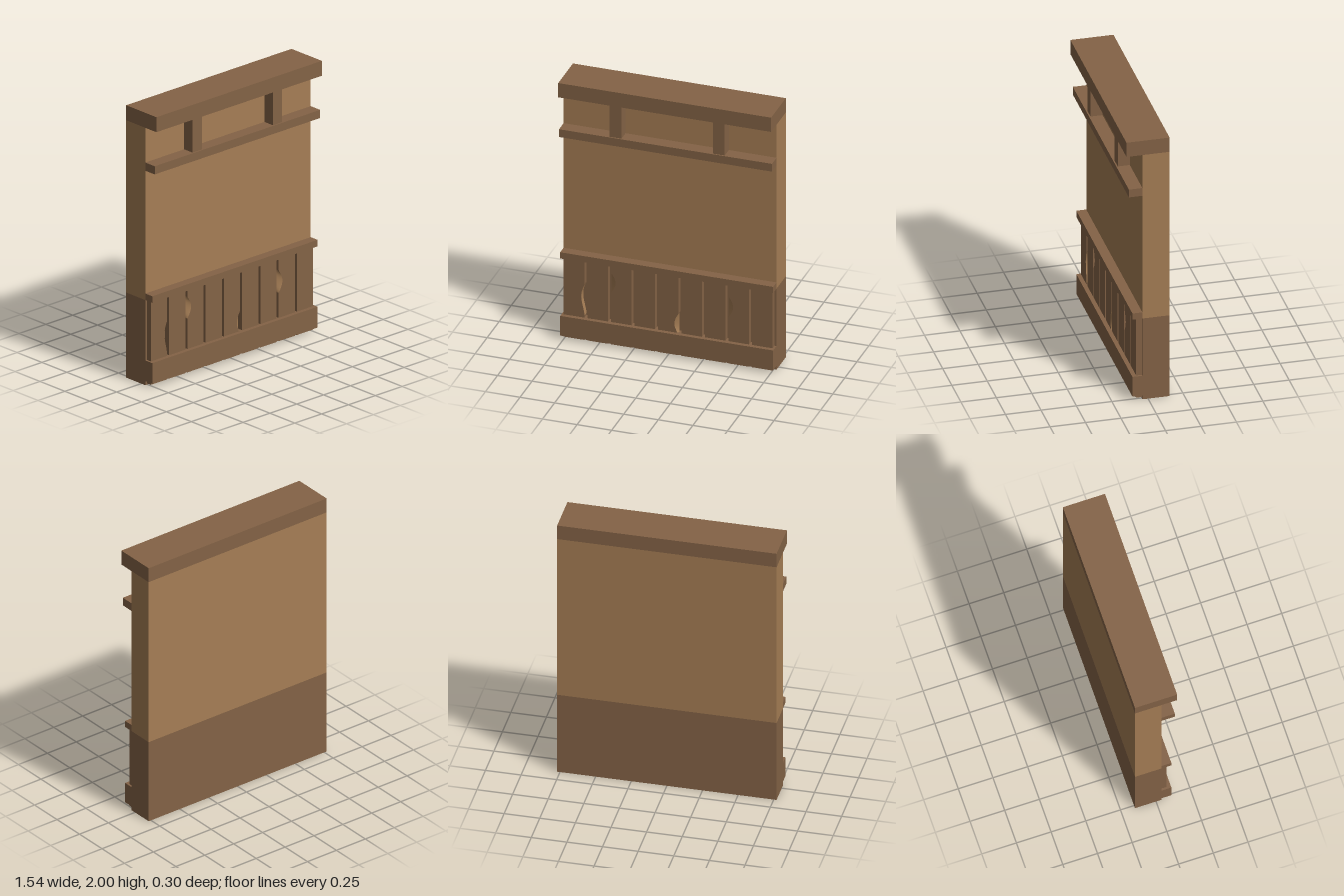
import * as THREE from 'three';

const darkWood = new THREE.MeshStandardMaterial({ color: 0x846346 });
darkWood.name = 'dark wood';
const lightWood = new THREE.MeshStandardMaterial({ color: 0xa67e55, side: THREE.DoubleSide });
lightWood.name = 'light wood';

const WALL_FRONT = 0.04, PLANK_FRONT = 0.08, PLANK_WIDTH = 0.15, PITCH = 0.17;

// Box given by its limits on each axis
function block(name, material, x0, x1, y0, y1, z0, z1) {
  const mesh = new THREE.Mesh(new THREE.BoxGeometry(x1 - x0, y1 - y0, z1 - z0), material);
  mesh.position.set((x0 + x1) / 2, (y0 + y1) / 2, (z0 + z1) / 2);
  mesh.name = name;
  return mesh;
}

// Curved outline of a chip on a plank edge, from bottom to top
function chipCurve({ side, y0, y1, depth, skew = 1 }, centre) {
  const points = [];
  for (let i = 0; i <= 12; i++) {
    const t = i / 12;
    const x = centre + side * (PLANK_WIDTH / 2 - depth * Math.sin(Math.PI * Math.pow(t, skew)));
    points.push(new THREE.Vector2(x, y0 + (y1 - y0) * t));
  }
  return points;
}

// Plank with an optional chip bitten out of one long edge
function plank(centre, chip) {
  const group = new THREE.Group();
  group.name = 'plank';
  const l = centre - PLANK_WIDTH / 2, r = centre + PLANK_WIDTH / 2, y0 = 0.01, y1 = 0.625;
  const curve = chip ? chipCurve(chip, centre) : [];
  const shape = new THREE.Shape([
    new THREE.Vector2(l, y0), new THREE.Vector2(r, y0),
    ...(chip && chip.side > 0 ? curve : []),
    new THREE.Vector2(r, y1), new THREE.Vector2(l, y1),
    ...(chip && chip.side < 0 ? [...curve].reverse() : []),
  ]);
  const body = new THREE.Mesh(
    new THREE.ExtrudeGeometry(shape, { depth: PLANK_FRONT - WALL_FRONT, bevelEnabled: false }), darkWood);
  body.position.z = WALL_FRONT;
  body.name = 'plankBody';
  group.add(body);

  if (chip) {
    // Bare wood: a sloping scoop, or the straight wall of a bite right through
    const edge = centre + chip.side * PLANK_WIDTH / 2;
    const position = [], index = [];
    curve.forEach((p, i) => {
      const x = p.x + (chip.through ? chip.side * 0.001 : 0);
      position.push(x, p.y, PLANK_FRONT);
      position.push(chip.through ? x : edge, p.y, chip.through ? WALL_FRONT : 0.06);
      const a = i * 2;
      if (i < curve.length - 1) {
        if (chip.side > 0) index.push(a, a + 1, a + 3, a, a + 3, a + 2);
        else index.push(a, a + 3, a + 1, a, a + 2, a + 3);
      }
    });
    const geometry = new THREE.BufferGeometry();
    geometry.setAttribute('position', new THREE.Float32BufferAttribute(position, 3));
    geometry.setIndex(index);
    geometry.computeVertexNormals();
    const scoop = new THREE.Mesh(geometry, lightWood);
    scoop.name = 'chip';
    group.add(scoop);
  }
  return group;
}

export function createModel() {
  const model = new THREE.Group();
  model.name = 'wallPanel';
  const W = 0.77, BACK = -0.152;

  // Wall core, dark below and light above
  model.add(block('lowerWall', darkWood, -W, W, 0, 0.625, BACK, WALL_FRONT));
  model.add(block('upperWall', lightWood, -W, W, 0.625, 1.89, BACK, WALL_FRONT));

  // Horizontal beams
  model.add(block('topBeam', darkWood, -W, W, 1.89, 2, BACK, 0.152));
  model.add(block('upperRail', darkWood, -W, W, 1.575, 1.635, WALL_FRONT, 0.135));
  model.add(block('lowerRail', darkWood, -W, W, 0.625, 0.673, WALL_FRONT, 0.11));
  model.add(block('baseboard', darkWood, -W, W, 0.03, 0.182, WALL_FRONT, 0.11));

  // Short posts between the top beam and the upper rail
  for (const x of [-0.365, 0.382])
    model.add(block('post', darkWood, x - 0.043, x + 0.043, 1.635, 1.89, WALL_FRONT, 0.125));

  // Row of planks, four of them chipped
  const chips = {
    0: { side: 1, y0: 0.2, y1: 0.44, depth: 0.024, skew: 1.4, through: true },
    2: { side: -1, y0: 0.405, y1: 0.565, depth: 0.035 },
    4: { side: 1, y0: 0.17, y1: 0.33, depth: 0.03 },
    7: { side: -1, y0: 0.365, y1: 0.53, depth: 0.035 },
  };
  for (let i = 0; i < 9; i++) model.add(plank((i - 4) * PITCH, chips[i]));
  return model;
}
